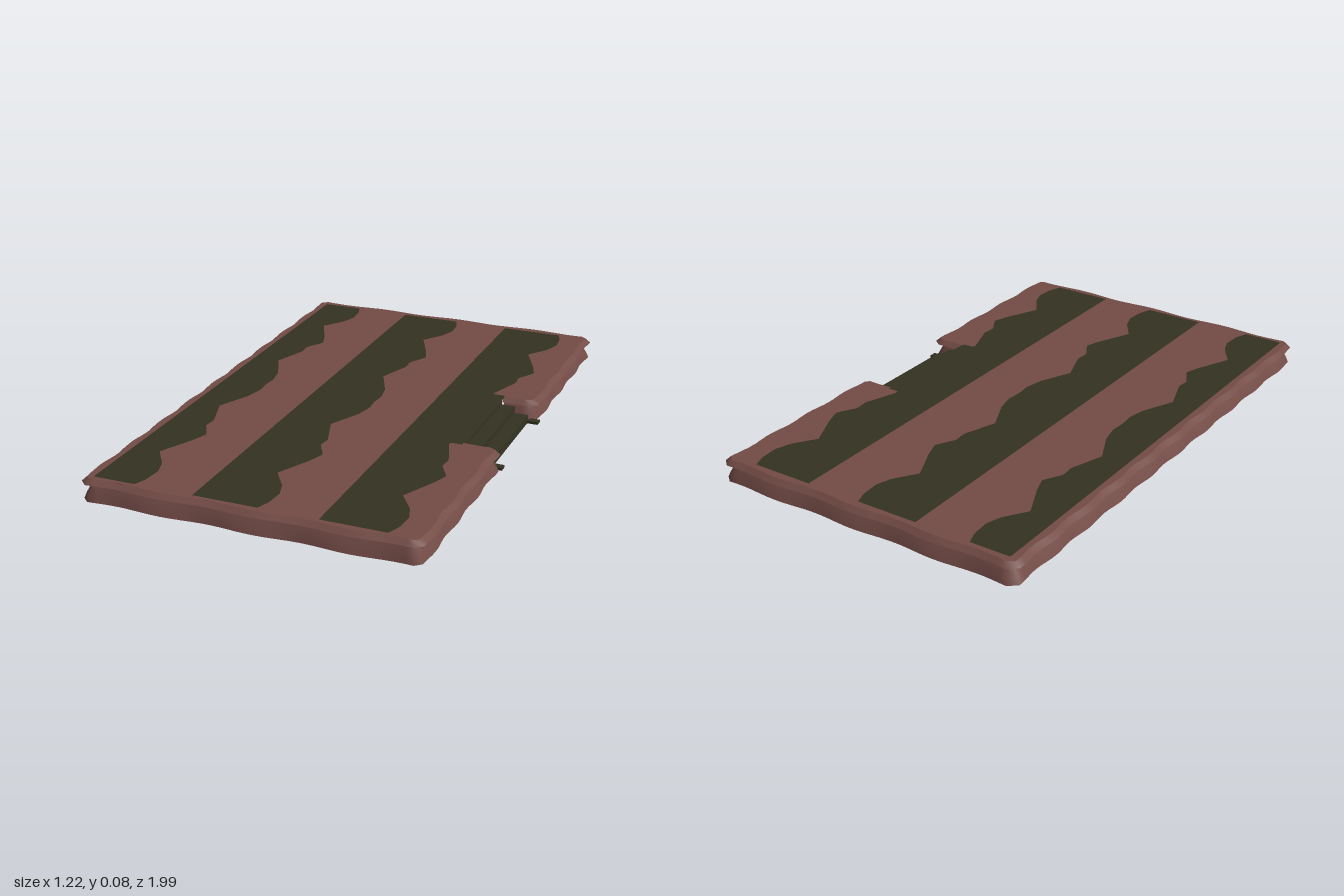
import * as THREE from 'three';

const brown = new THREE.MeshStandardMaterial({ color: 0x744c47, side: THREE.DoubleSide });
brown.name = 'dusty brown';
const green = new THREE.MeshStandardMaterial({ color: 0x343322, side: THREE.DoubleSide });
green.name = 'dark olive';

// Surface through rows of equally many [x, y, z] points
function loft(rows) {
  const n = rows[0].length, index = [];
  for (let r = 0; r < rows.length - 1; r++) {
    for (let i = 0; i < n - 1; i++) {
      const a = r * n + i, b = a + n;
      index.push(a, a + 1, b, b, a + 1, b + 1);
    }
  }
  const geo = new THREE.BufferGeometry();
  geo.setAttribute('position', new THREE.Float32BufferAttribute(rows.flat(2), 3));
  geo.setIndex(index);
  geo.computeVertexNormals();
  return geo;
}

// Wavy stripe border, mirrored front to back: [|z|, x offset]
const wave = [[0, 0.01], [0.06, 0.015], [0.13, 0], [0.25, -0.055], [0.38, -0.01], [0.43, -0.015],
  [0.5, 0.025], [0.56, 0.005], [0.69, -0.055], [0.77, 0], [0.83, 0.02], [0.9, 0.015], [1, -0.02]];
function waveAt(z) {
  const a = Math.abs(z);
  const k = Math.max(1, wave.findIndex((p) => p[0] >= a));
  const [z0, x0] = wave[k - 1], [z1, x1] = wave[k];
  return x0 + (x1 - x0) * (a - z0) / (z1 - z0);
}

// Outer border around the slab, ending at both sides of the stair notch
function borderPath() {
  const c = 0.025, X = 0.6, Z = 0.985, N = 0.212;
  const half = [[0.47, N], [X - c, N], [X, N + c], [X, Z - c], [X - c, Z], [-X + c, Z], [-X, Z - c]];
  const corners = [...half, ...half.map(([x, z]) => [x, -z]).reverse()];
  const pts = [];
  corners.forEach((p, i) => {
    const q = corners[i + 1];
    if (!q) return pts.push(new THREE.Vector2(...p));
    const a = new THREE.Vector2(...p), b = new THREE.Vector2(...q);
    const steps = Math.max(1, Math.round(a.distanceTo(b) / 0.03));
    for (let s = 0; s < steps; s++) pts.push(a.clone().lerp(b, s / steps));
  });
  // Mitred outward normals
  return pts.map((p, i) => {
    const a = pts[Math.max(i - 1, 0)], b = pts[Math.min(i + 1, pts.length - 1)];
    const d0 = p.clone().sub(i ? a : b).normalize().multiplyScalar(i ? 1 : -1);
    const d1 = (i < pts.length - 1 ? b.clone().sub(p) : p.clone().sub(a)).normalize();
    const n0 = new THREE.Vector2(d0.y, -d0.x), n1 = new THREE.Vector2(d1.y, -d1.x);
    const m = n0.clone().add(n1).normalize();
    return { p, n: m.multiplyScalar(1 / m.dot(n0)) };
  });
}

export function createModel() {
  const group = new THREE.Group();
  const add = (name, geo, mat) => {
    const mesh = new THREE.Mesh(geo, mat);
    mesh.name = name;
    group.add(mesh);
    return mesh;
  };

  // Striped top sheet
  const stripe = (name, mat, left, right, z0 = -0.965, z1 = 0.965) => {
    const rows = [], n = Math.round((z1 - z0) / 0.0125);
    for (let i = 0; i <= n; i++) {
      const z = z0 + (z1 - z0) * i / n;
      rows.push([[left(z), 0.079, z], [right(z), 0.079, z]]);
    }
    add(name, loft(rows), mat);
  };
  const line = (x) => () => x;
  const wavy = (x) => (z) => x + waveAt(z);
  stripe('greenStripeRight', green, line(-0.575), wavy(-0.41));
  stripe('brownStripeRight', brown, wavy(-0.41), line(-0.2));
  stripe('greenStripeMiddle', green, line(-0.2), wavy(0.035));
  stripe('brownStripeMiddle', brown, wavy(0.035), line(0.245));
  stripe('greenStripeStairs', green, line(0.245), line(0.475), -0.24, 0.24);
  for (const [z0, z1] of [[-0.965, -0.24], [0.24, 0.965]]) {
    stripe('greenStripeLeft', green, line(0.245), wavy(0.48), z0, z1);
    stripe('brownStripeLeft', brown, wavy(0.48), line(0.575), z0, z1);
  }

  // Rim and skirt: profiles of [inset, y, waviness] swept round the border
  const border = borderPath();
  const sweep = (name, mat, profile) => {
    const rows = profile.map(([inset, y, w]) => border.map(({ p, n }) => {
      const ripple = w * (Math.sin(p.x * 19 + 1) + Math.sin(p.y * 31) * 0.8) * 0.005;
      const d = ripple - inset;
      // Outward is away from the slab on every run
      return [p.x + n.x * d * outward, y, p.y + n.y * d * outward];
    }));
    add(name, loft(rows), mat);
  };
  const mid = border[Math.floor(border.length / 2)]; // on the -x run
  const outward = mid.n.x < 0 ? 1 : -1;
  sweep('rimTop', brown, [[0.035, 0.08, 0], [0.014, 0.08, 1]]);
  sweep('rimBevel', brown, [[0.014, 0.08, 1], [-0.004, 0.063, 1]]);
  sweep('rimUnderside', brown, [[-0.004, 0.063, 1], [0.03, 0.061, 0]]);
  sweep('skirt', brown, [[0.03, 0.061, 0], [0.018, 0.04, 0.3], [0.008, 0.02, 0.7], [0, 0, 1]]);
  sweep('seam', green, [[0.03, 0.0605, 0], [0.042, 0.0605, 0]]);

  // Stairs in the notch
  const box = (name, x0, x1, y0, y1, z0, z1) => {
    const mesh = add(name, new THREE.BoxGeometry(x1 - x0, y1 - y0, z1 - z0), green);
    mesh.position.set((x0 + x1) / 2, (y0 + y1) / 2, (z0 + z1) / 2);
  };
  [[0.47, 0.056], [0.52, 0.03]].forEach(([x, y]) => {
    box('stairTread', x, x + 0.052, y - 0.008, y, -0.21, 0.21);
    box('stairRiser', x - 0.004, x, y - 0.008, y + 0.022, -0.21, 0.21);
  });
  box('stairFront', 0.566, 0.572, 0, 0.03, -0.21, 0.21);
  for (const s of [-1, 1]) {
    box('stairRail', 0.47, 0.612, 0, 0.01, s * 0.215 - 0.014, s * 0.215 + 0.014);
  }
  return group;
}
